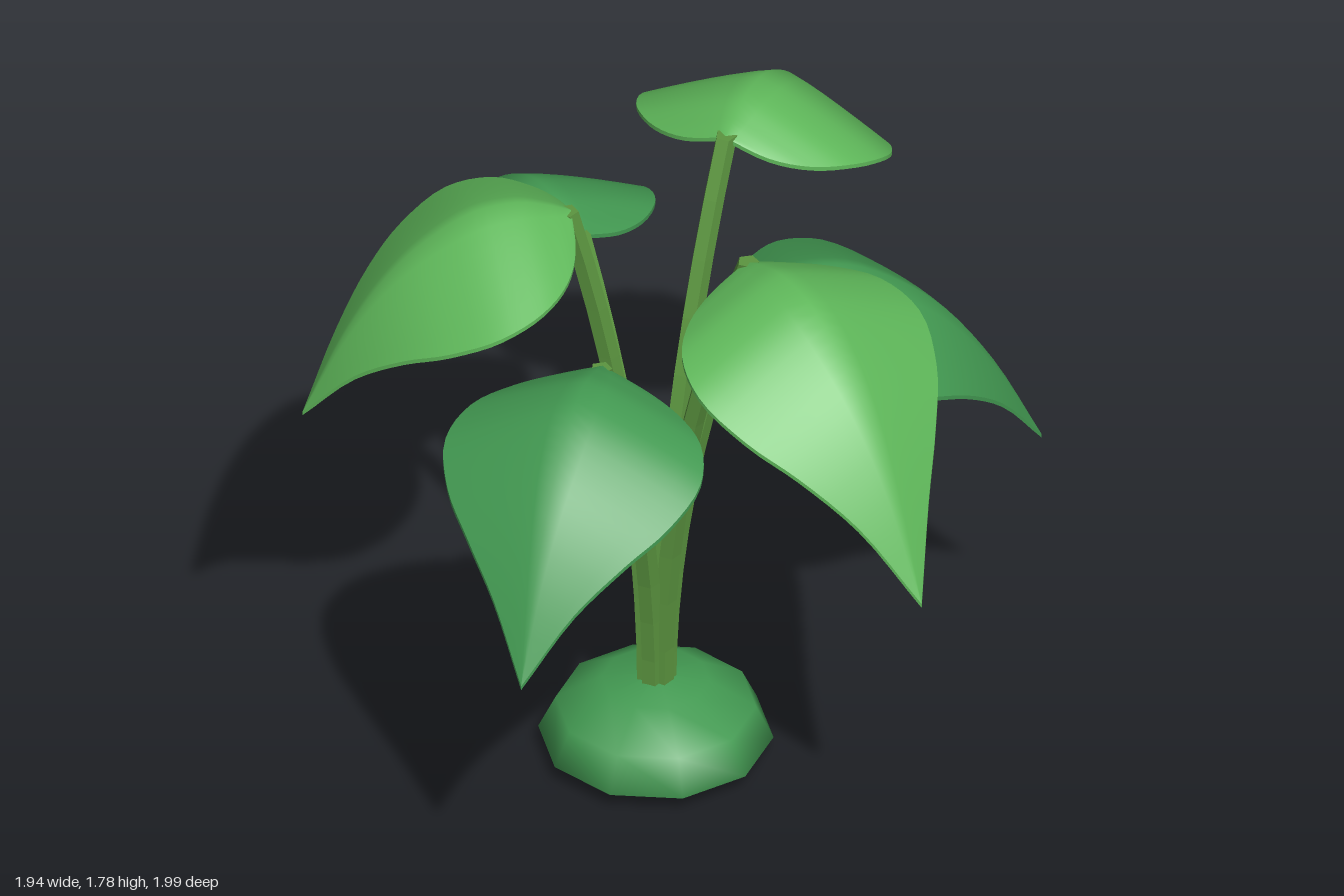
import * as THREE from 'three';
import { mergeGeometries } from 'three/addons/utils/BufferGeometryUtils.js';

const CX = -0.04, CZ = -0.055; // axis of the plant

// Leaf stations: fraction of length, half width, fraction of droop
const leafCurve = new THREE.CatmullRomCurve3([
  [0, 0, 0.085], [0.02, 0.12, 0.075], [0.08, 0.22, 0.045], [0.2, 0.31, 0.005],
  [0.36, 0.345, 0.025], [0.54, 0.3, 0.15], [0.69, 0.215, 0.325], [0.84, 0.11, 0.595], [1, 0, 1],
].map((p) => new THREE.Vector3(...p)));

// Indexed sheet from a function of two parameters in 0..1
function sheet(fn, nu, nv) {
  const pos = [], idx = [];
  for (let i = 0; i <= nu; i++) {
    for (let j = 0; j <= nv; j++) {
      pos.push(...fn(i / nu, j / nv));
      if (i < nu && j < nv) {
        const a = i * (nv + 1) + j, b = a + nv + 1;
        idx.push(a, a + 1, b, b, a + 1, b + 1);
      }
    }
  }
  const g = new THREE.BufferGeometry();
  g.setAttribute('position', new THREE.Float32BufferAttribute(pos, 3));
  g.setIndex(idx);
  g.computeVertexNormals();
  return g;
}

// Leaf along +x: a drooping, tent-shaped blade with a thin rim
function leafGeometry(length, droop) {
  const thick = 0.012;
  const at = (u, v, down) => {
    const p = leafCurve.getPoint(u);
    const w = Math.max(0, p.y);
    const fall = w * (0.4 + 0.2 * p.x) * Math.pow(Math.abs(v), 1.15);
    return [p.x * length, -p.z * droop - fall - down * thick, w * v];
  };
  return mergeGeometries([
    sheet((u, t) => at(u, 2 * t - 1, 0), 32, 12), // upper face
    sheet((u, t) => at(u, 1, t), 32, 1),          // rims
    sheet((u, t) => at(u, -1, 1 - t), 32, 1),
    sheet((u, t) => at(u, 1 - 2 * t, 1), 32, 12), // under face
  ]);
}

// Stem: five-sided column whose rings slide outward towards the leaf
function stemGeometry(end) {
  const g = new THREE.CylinderGeometry(0.029, 0.031, 1, 5, 10);
  const p = g.attributes.position;
  const dx = end.x - CX, dz = end.z - CZ, d = Math.hypot(dx, dz);
  const sx = CX + (dx / d) * 0.022, sz = CZ + (dz / d) * 0.022;
  for (let i = 0; i < p.count; i++) {
    const t = p.getY(i) + 0.5, k = t * t;
    p.setXYZ(i, p.getX(i) + sx + (end.x - sx) * k,
      0.18 + (end.y - 0.18) * t, p.getZ(i) + sz + (end.z - sz) * k);
  }
  g.computeVertexNormals();
  return g;
}

export function createModel() {
  const model = new THREE.Group();
  const material = (name, color, flatShading = false) => {
    const m = new THREE.MeshStandardMaterial({ color, flatShading });
    m.name = name;
    return m;
  };
  const light = material('lightLeafGreen', 0x5fb85a);
  const dark = material('darkLeafGreen', 0x439a52);
  const stemGreen = material('stemGreen', 0x5c9640, true);
  const add = (name, geometry, mat) => {
    const mesh = new THREE.Mesh(geometry, mat);
    mesh.name = name;
    model.add(mesh);
    return mesh;
  };

  // Rounded bulb at the foot
  const profile = [[0, 0], [0.24, 0.01], [0.305, 0.05], [0.26, 0.145], [0.14, 0.22], [0, 0.237]];
  add('bulb', new THREE.LatheGeometry(profile.map((p) => new THREE.Vector2(...p)), 10), dark)
    .position.set(CX, 0, CZ);

  // Leaves: base x, base z, tip x, tip y, tip z, crest height, colour
  const leaves = [
    [-0.26, -0.075, -0.97, 1.2, -0.085, 1.78, light],
    [0.13, 0.24, 0.42, 1.11, 0.99, 1.78, light],
    [0.2, -0.3, 0.63, 1.17, -0.87, 1.78, light],
    [0.18, -0.015, 0.97, 0.87, 0.0, 1.5, dark],
    [-0.25, 0.235, -0.61, 0.92, 0.85, 1.5, dark],
    [-0.17, -0.34, -0.39, 0.92, -1.0, 1.5, dark],
  ];
  leaves.forEach(([bx, bz, tx, ty, tz, crest, mat], i) => {
    const dx = tx - bx, dz = tz - bz, length = Math.hypot(dx, dz), droop = crest - ty;
    const leaf = add(`leaf${i + 1}`, leafGeometry(length, droop), mat);
    leaf.position.set(bx, crest, bz);
    leaf.rotation.y = Math.atan2(-dz, dx);
    const end = new THREE.Vector3(bx + (dx / length) * 0.01, crest - 0.05, bz + (dz / length) * 0.01);
    add(`stem${i + 1}`, stemGeometry(end), stemGreen);
  });
  return model;
}
